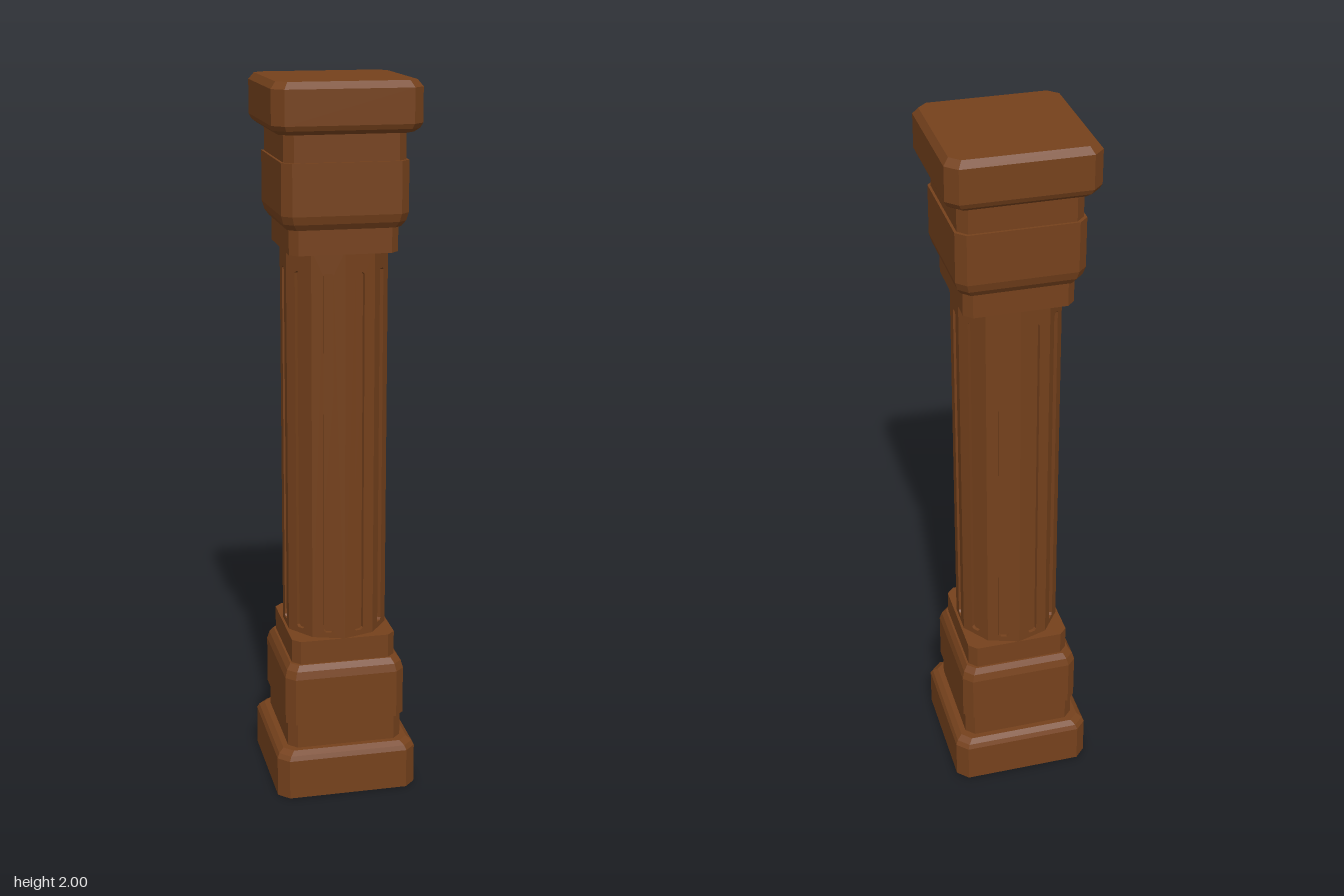
import * as THREE from 'three';

const wood = new THREE.MeshStandardMaterial({ color: 0x75411c, flatShading: true });

// Square section with cut corners at height y
function ring([y, half, cut]) {
  const a = half, b = half - cut;
  return [[b, a], [a, b], [a, -b], [b, -a], [-b, -a], [-a, -b], [-a, b], [-b, a]]
    .map(([x, z]) => new THREE.Vector3(x, y, z));
}

// Closed solid through a stack of sections listed from bottom to top
function loft(sections) {
  const rings = sections.map(ring), pos = [];
  const tri = (...pts) => pts.forEach((p) => pos.push(p.x, p.y, p.z));
  const bottom = rings[0], top = rings[rings.length - 1];
  for (let r = 0; r < rings.length - 1; r++) {
    for (let i = 0; i < 8; i++) {
      const j = (i + 1) % 8, lo = rings[r], hi = rings[r + 1];
      tri(lo[i], lo[j], hi[j]);
      tri(lo[i], hi[j], hi[i]);
    }
  }
  for (let i = 1; i < 7; i++) {
    tri(top[0], top[i], top[i + 1]);
    tri(bottom[0], bottom[i + 1], bottom[i]);
  }
  const g = new THREE.BufferGeometry();
  g.setAttribute('position', new THREE.Float32BufferAttribute(pos, 3));
  g.computeVertexNormals();
  return g;
}

// Upright rectangle with small cut corners, as a list of points
function panelPoints(w, y0, y1, c) {
  const h = w / 2;
  return [[-h + c, y0], [h - c, y0], [h, y0 + c], [h, y1 - c],
    [h - c, y1], [-h + c, y1], [-h, y1 - c], [-h, y0 + c]].map(([x, y]) => new THREE.Vector2(x, y));
}

export function createModel() {
  const model = new THREE.Group();
  const add = (name, geometry, parent = model) => {
    const mesh = new THREE.Mesh(geometry, wood);
    mesh.name = name;
    parent.add(mesh);
    return mesh;
  };

  // Stepped mouldings, the same at the foot and upside down at the head
  const mouldings = {
    Neck: [[0.13, 0.164, 0.024], [0.22, 0.164, 0.024]],
    Block: [[0.212, 0.171, 0.025], [0.35, 0.171, 0.025], [0.372, 0.165, 0.024], [0.388, 0.154, 0.022]],
    Collar: [[0.38, 0.148, 0.022], [0.456, 0.148, 0.022]],
  };
  const flip = (s) => s.map(([y, h, c]) => [2.005 - y, h, c]).reverse();
  for (const [part, sections] of Object.entries(mouldings)) {
    add('lower' + part, loft(sections));
    add('upper' + part, loft(flip(sections)));
  }

  // Plinth and cap slabs with bevelled rims
  add('plinth', loft([[0, 0.2, 0.03], [0.115, 0.2, 0.03], [0.128, 0.194, 0.029], [0.139, 0.18, 0.026]]));
  add('cap', loft([[1.866, 0.18, 0.026], [1.877, 0.194, 0.029], [1.89, 0.2, 0.03],
    [1.982, 0.2, 0.03], [2, 0.186, 0.026]]));

  // Ten-sided shaft: a core behind panels that are cut through by the flutes
  const sides = 10, radius = 0.148, depth = 0.01, y0 = 0.44, y1 = 1.56;
  const half = Math.PI / sides;
  const apothem = radius * Math.cos(half);
  const shaft = new THREE.Group();
  shaft.name = 'shaft';
  model.add(shaft);
  const coreRadius = (apothem - depth) / Math.cos(half);
  const core = new THREE.CylinderGeometry(coreRadius, coreRadius, y1 - y0, sides);
  add('shaftCore', core.translate(0, (y0 + y1) / 2, 0), shaft);

  const face = new THREE.Shape(panelPoints(2 * radius * Math.sin(half), y0, y1, 0));
  face.holes.push(new THREE.Path(panelPoints(0.028, 0.472, 1.497, 0.006)));
  const panel = new THREE.ExtrudeGeometry(face, { depth, bevelEnabled: false });
  panel.translate(0, 0, apothem - depth);
  for (let i = 0; i < sides; i++) {
    add('flutedPanel', panel, shaft).rotation.y = (2 * i + 1) * half;
  }
  return model;
}
